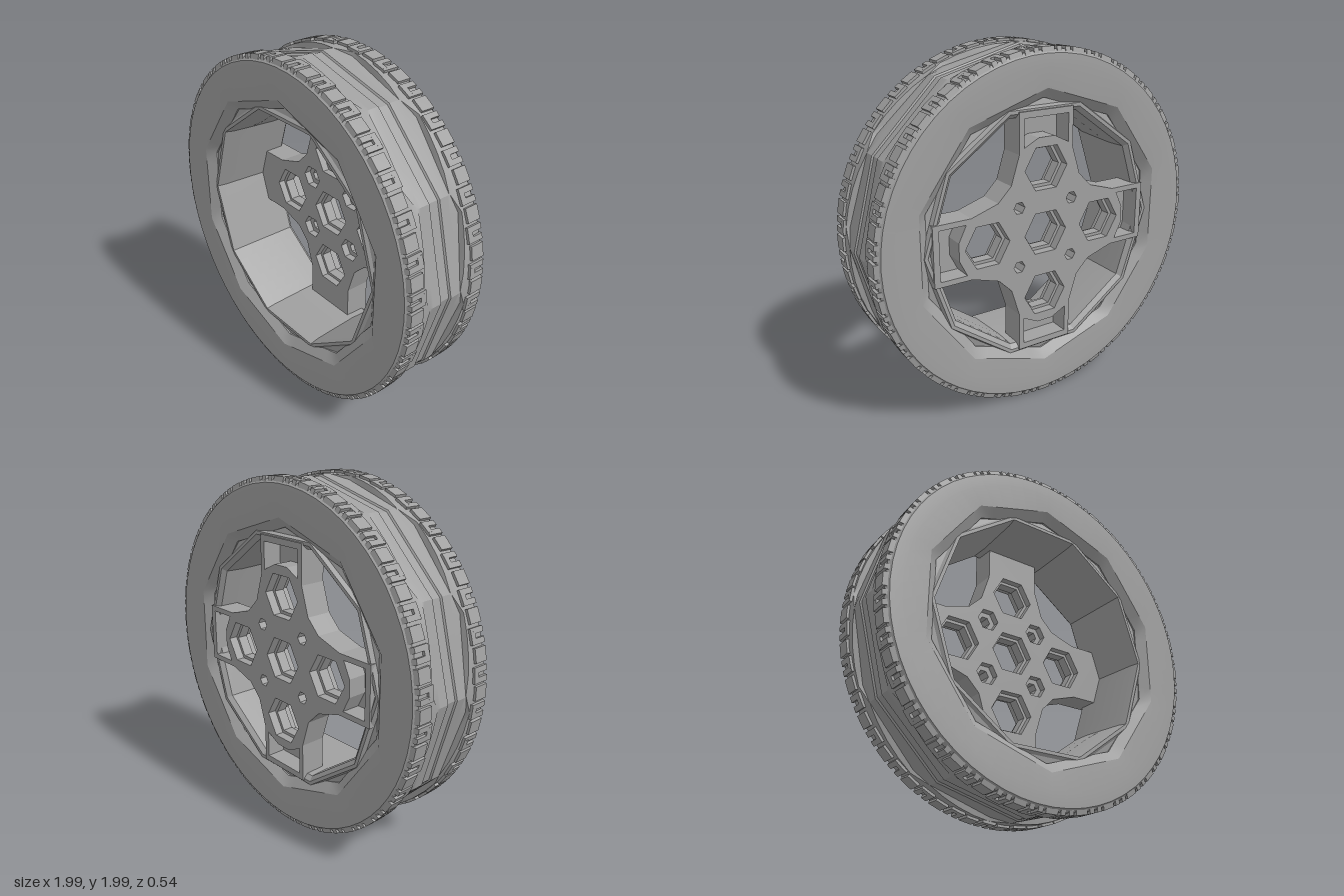
import * as THREE from 'three';
import { toCreasedNormals } from 'three/addons/utils/BufferGeometryUtils.js';

const rubber = new THREE.MeshStandardMaterial({ color: 0xa0a0a0 });
rubber.name = 'grey';
const SEG = 60;
const TAU = Math.PI * 2;

// Radius of a regular polygon at an angle; sides = 0 gives a circle.
function polyRadius(r, sides, phase, angle) {
  if (!sides) return r;
  const step = TAU / sides;
  const a = (((angle - phase) % step) + step) % step;
  return (r * Math.cos(step / 2)) / Math.cos(a - step / 2);
}

// Closed ring lofted from [z, radius, sides, phase]; z may be a function of the segment.
function ring(profile) {
  const pos = [], idx = [], n = profile.length;
  for (const [z, r, sides = 0, phase = 0] of profile) {
    for (let j = 0; j < SEG; j++) {
      const a = (j / SEG) * TAU;
      const rr = polyRadius(r, sides, phase, a);
      pos.push(rr * Math.cos(a), rr * Math.sin(a), typeof z === 'function' ? z(j) : z);
    }
  }
  for (let k = 0; k < n; k++) {
    for (let j = 0; j < SEG; j++) {
      const k2 = ((k + 1) % n) * SEG, j2 = (j + 1) % SEG, k1 = k * SEG;
      idx.push(k1 + j, k2 + j, k2 + j2, k1 + j, k2 + j2, k1 + j2);
    }
  }
  const g = new THREE.BufferGeometry();
  g.setAttribute('position', new THREE.Float32BufferAttribute(pos, 3));
  g.setIndex(idx);
  return toCreasedNormals(g, 0.45);
}

function add(parent, name, geometry) {
  const m = new THREE.Mesh(geometry, rubber);
  m.name = name;
  parent.add(m);
  return m;
}

function hexagonPath(cx, cy, r) {
  const pts = [];
  for (let i = 0; i < 6; i++) {
    pts.push(new THREE.Vector2(cx + r * Math.cos((i * TAU) / 6), cy + r * Math.sin((i * TAU) / 6)));
  }
  return new THREE.Path(pts);
}

// Points of one spoke turned to another spoke.
function turned(points, quarter) {
  const c = new THREE.Vector2();
  return points.map(([x, y]) => new THREE.Vector2(x, y).rotateAround(c, (quarter * Math.PI) / 2));
}

// One layer of the cross-shaped hub.
function hubLayer(z0, z1, bigHole, smallHole, pockets) {
  const outline = [];
  const arm = [[0.46, -0.17], [0.68, -0.17], [0.68, 0.17], [0.46, 0.17], [0.3, 0.22], [0.22, 0.3]];
  const pocket = [[0.535, -0.05], [0.49, -0.14], [0.645, -0.14], [0.645, 0.14], [0.49, 0.14], [0.535, 0.05]];
  for (let q = 0; q < 4; q++) outline.push(...turned(arm, q));
  const shape = new THREE.Shape(outline);
  shape.holes.push(hexagonPath(0, 0, bigHole));
  for (let q = 0; q < 4; q++) {
    const a = (q * Math.PI) / 2;
    shape.holes.push(hexagonPath(0.365 * Math.cos(a), 0.365 * Math.sin(a), bigHole));
    const d = 0.24, b = a + Math.PI / 4;
    shape.holes.push(hexagonPath(d * Math.cos(b), d * Math.sin(b), smallHole));
    if (pockets) shape.holes.push(new THREE.Path(turned(pocket, q)));
  }
  const g = new THREE.ExtrudeGeometry(shape, { depth: z1 - z0, bevelEnabled: false });
  return g.translate(0, 0, z0);
}

// Tread block whose upper outer edge is sloped back to round the shoulder.
function lugGeometry(width, z0, z1) {
  const g = new THREE.BoxGeometry(width, 0.05, z1 - z0).toNonIndexed();
  g.translate(0, 0.972, (z0 + z1) / 2);
  const p = g.attributes.position;
  for (let i = 0; i < p.count; i++) {
    if (p.getY(i) > 0.97 && p.getZ(i) > 0.25) p.setZ(i, p.getZ(i) - 0.014);
  }
  g.computeVertexNormals();
  return g;
}

export function createModel() {
  const model = new THREE.Group();
  model.name = 'wheel';
  const wheel = new THREE.Group();
  wheel.name = 'wheelAssembly';
  wheel.position.y = 1;
  model.add(wheel);

  // Tyre: round sidewalls, ten-sided bead, twelve-sided centre tread with saw-tooth edges
  const P = Math.PI / 10;
  const frontEdge = (d) => (j) => 0.155 - d - 0.045 * (((j + 4) % 5) / 4);
  const backEdge = (d) => (j) => -0.155 + d + 0.045 * (((64 - j) % 5) / 4);
  add(wheel, 'tyre', ring([
    [0.215, 0.735, 10, P], [0.258, 0.79, 10, P], [0.268, 0.9], [0.265, 0.965], [0.245, 0.983],
    [0.16, 0.984], [frontEdge(0), 0.982], [frontEdge(0.006), 0.984, 12],
    [0.09, 0.987, 12], [0.035, 0.987, 12], [0.028, 0.978, 12],
    [-0.028, 0.978, 12], [-0.035, 0.987, 12], [-0.09, 0.987, 12],
    [backEdge(0.006), 0.984, 12], [backEdge(0), 0.982], [-0.16, 0.984],
    [-0.245, 0.983], [-0.265, 0.965], [-0.268, 0.9], [-0.258, 0.79, 10, P], [-0.215, 0.735, 10, P],
  ]));

  // Rim barrel, ten-sided, narrowing to the back, with a stepped lip at each end
  add(wheel, 'rim', ring([
    [0.2, 0.79, 10], [-0.2, 0.79, 10], [-0.215, 0.735, 10], [-0.24, 0.725, 10],
    [-0.24, 0.705, 10], [-0.215, 0.68, 10], [-0.1, 0.676, 10], [0.17, 0.69, 10],
    [0.225, 0.7, 10], [0.225, 0.72, 10], [0.212, 0.735, 10],
  ]));

  // Shoulder lugs: straight bars alternating with hooked ones
  const bar = lugGeometry(0.076, 0.168, 0.264);
  const thin = lugGeometry(0.03, 0.155, 0.264);
  const hook = lugGeometry(0.05, 0.155, 0.188);
  const count = 32;
  for (const side of [0, 1]) {
    const shoulder = new THREE.Group();
    shoulder.name = side ? 'backLugs' : 'frontLugs';
    shoulder.rotation.y = side * Math.PI;
    wheel.add(shoulder);
    for (let i = 0; i < count; i++) {
      const a = (i / count) * TAU;
      add(shoulder, 'lugBar', bar).rotation.z = a;
      add(shoulder, 'lugThin', thin).rotation.z = a + 0.072;
      add(shoulder, 'lugHook', hook).rotation.z = a + 0.1;
      add(shoulder, 'lugTip', thin).rotation.z = a + 0.126;
    }
  }

  // Hub: stepped hexagonal holes, spokes hollow at the back
  const hub = new THREE.Group();
  hub.name = 'hub';
  wheel.add(hub);
  add(hub, 'hubFront', hubLayer(-0.14, -0.1, 0.135, 0.068, false));
  add(hub, 'hubMiddle', hubLayer(-0.2, -0.14, 0.115, 0.035, true));
  add(hub, 'hubBack', hubLayer(-0.25, -0.2, 0.135, 0.035, true));

  return model;
}
